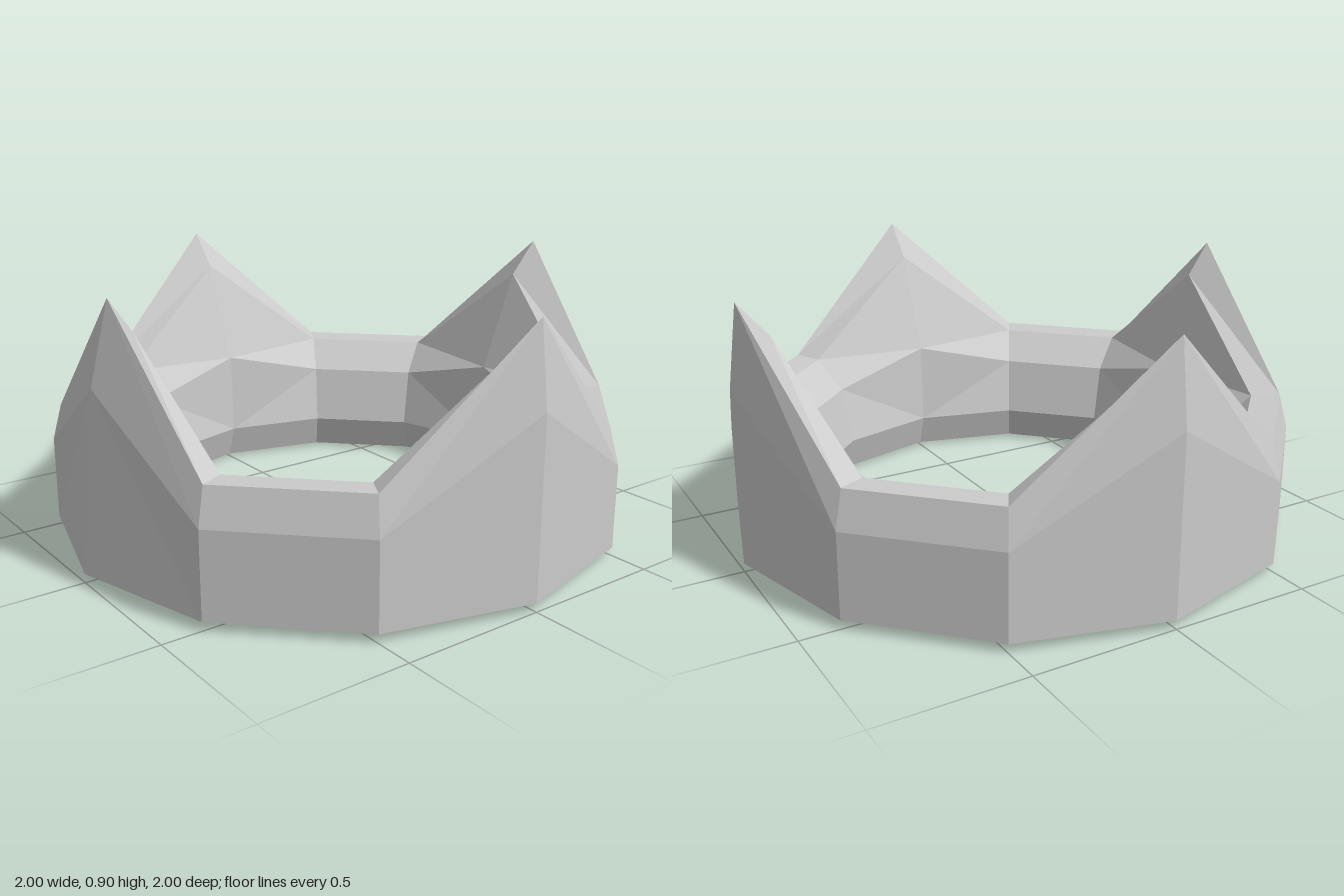
import * as THREE from 'three';

// Cross-sections as [radius, height], from the outer foot up, over the rim and down the inside
const under = [[0.75, 0.01], [0.86, 0], [0.94, 0.01]];
const lowSection = [[1, 0.03], [1, 0.32], [0.967, 0.445], [0.865, 0.44], [0.755, 0.335], [0.71, 0.13], ...under];
const peakSection = [[1, 0.03], [1, 0.63], [0.965, 0.905], [0.86, 0.785], [0.72, 0.43], [0.71, 0.13], ...under];
// The front peak leans further inwards
const frontSection = [[1, 0.03], [0.94, 0.63], [0.87, 0.905], [0.79, 0.79], [0.71, 0.43], [0.705, 0.13], ...under];

const SIDES = 12;

function sectionAt(i) {
  if (i % SIDES === 0) return frontSection;
  return i % 3 === 0 ? peakSection : lowSection;
}

function point(i, p) {
  const section = sectionAt(i);
  const [r, y] = section[p % section.length];
  const a = (i / SIDES) * Math.PI * 2;
  return [r * Math.sin(a), y, r * Math.cos(a)];
}

// Joins the sections into a closed ring, with diagonals mirrored about each peak
function crownGeometry() {
  const positions = [];
  for (let i = 0; i < SIDES; i++) {
    for (let p = 0; p < lowSection.length; p++) {
      const a = point(i, p), b = point(i + 1, p);
      const c = point(i + 1, p + 1), d = point(i, p + 1);
      const tris = i % 3 === 2 ? [a, b, c, a, c, d] : [a, b, d, b, c, d];
      positions.push(...tris.flat());
    }
  }
  const geometry = new THREE.BufferGeometry();
  geometry.setAttribute('position', new THREE.Float32BufferAttribute(positions, 3));
  geometry.computeVertexNormals();
  return geometry;
}

export function createModel() {
  const group = new THREE.Group();
  group.name = 'crown';
  const material = new THREE.MeshStandardMaterial({ color: 0xcccccc, flatShading: true });
  const band = new THREE.Mesh(crownGeometry(), material);
  band.name = 'peakedBand';
  group.add(band);
  return group;
}
